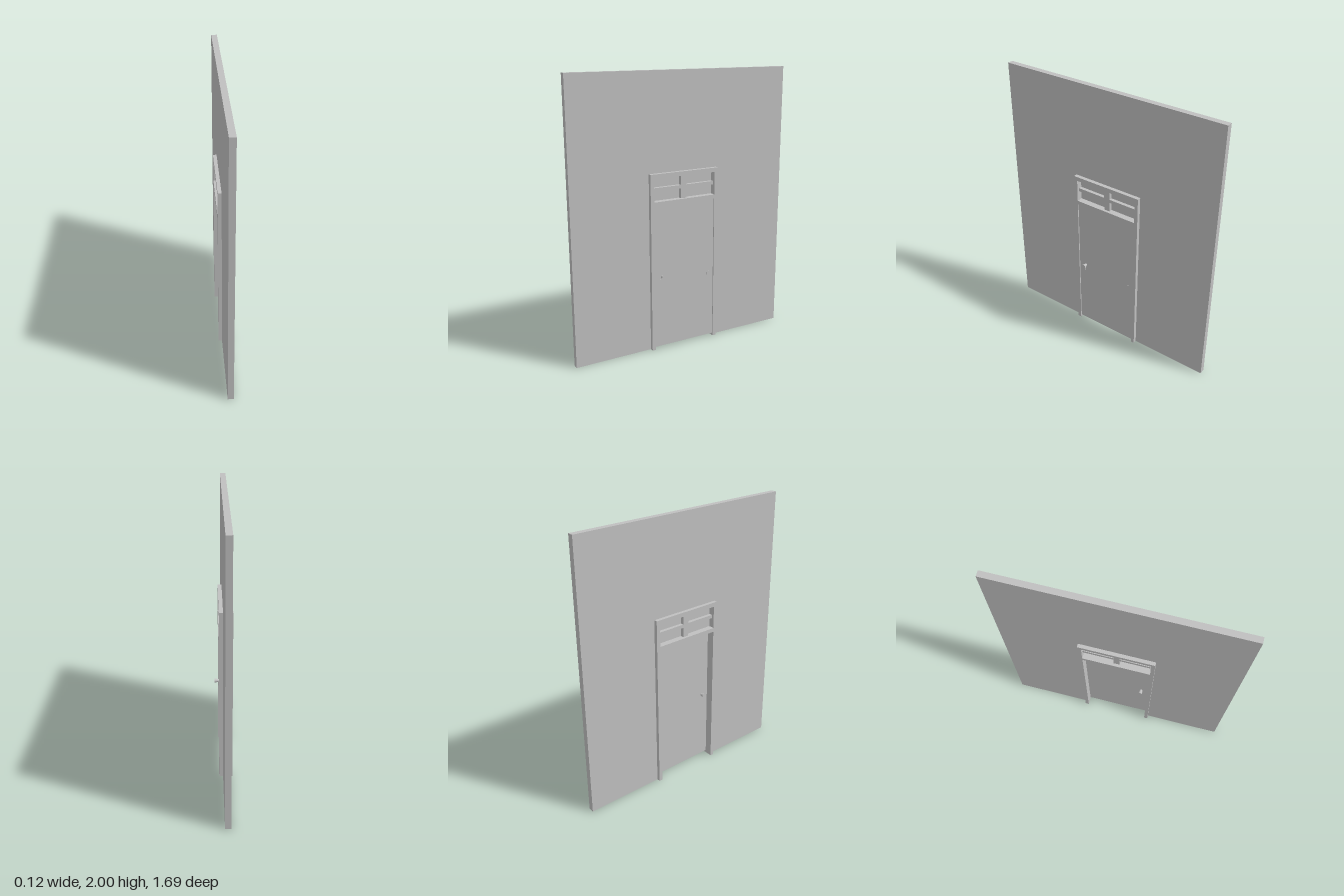
import * as THREE from 'three';

export function createModel() {
  const model = new THREE.Group();
  const grey = new THREE.MeshStandardMaterial({ color: 0xc0c0c0 });
  grey.name = 'light grey';

  const add = (name, geometry) => {
    const mesh = new THREE.Mesh(geometry, grey);
    mesh.name = name;
    model.add(mesh);
    return mesh;
  };

  // Box given by its limits along each axis
  const box = (name, x0, x1, y0, y1, z0, z1) =>
    add(name, new THREE.BoxGeometry(x1 - x0, y1 - y0, z1 - z0)
      .translate((x0 + x1) / 2, (y0 + y1) / 2, (z0 + z1) / 2));

  // Upside-down U with legs reaching the floor, extruded along x
  const portal = (name, x0, x1, outerZ, outerY, innerZ, innerY) => {
    const shape = new THREE.Shape([
      [-outerZ, 0], [-innerZ, 0], [-innerZ, innerY], [innerZ, innerY],
      [innerZ, 0], [outerZ, 0], [outerZ, outerY], [-outerZ, outerY],
    ].map(([z, y]) => new THREE.Vector2(z, y)));
    const geometry = new THREE.ExtrudeGeometry(shape, { depth: x1 - x0, bevelEnabled: false });
    return add(name, geometry.rotateY(Math.PI / 2).translate(x0, 0, 0));
  };

  // Wall with its door opening, and the frame lining it
  portal('wall', -0.037, 0.005, 0.845, 2, 0.255, 1.29);
  portal('doorFrame', -0.063, 0.033, 0.27, 1.307, 0.243, 1.276);

  // Window above the door: rail, pane and glazing bars
  box('transomRail', -0.063, 0.033, 1.08, 1.11, -0.243, 0.243);
  box('transomPane', -0.018, -0.012, 1.11, 1.276, -0.243, 0.243);
  box('verticalBar', -0.043, 0.013, 1.11, 1.276, -0.022, 0.022);
  for (const side of [-1, 1]) {
    const z = [0.022 * side, 0.243 * side].sort((a, b) => a - b);
    box('horizontalBar', -0.043, 0.013, 1.181, 1.206, ...z);
  }

  // Door leaf, with a small gap at the floor
  const doorBack = -0.006, doorFront = 0.026;
  box('door', doorBack, doorFront, 0.02, 1.08, -0.242, 0.242);

  // Flared knob on each face of the door
  for (const side of [-1, 1]) {
    const length = 0.034;
    const knob = add('knob', new THREE.CylinderGeometry(0.017, 0.009, length, 20));
    knob.rotation.z = -side * Math.PI / 2;
    knob.position.set((side > 0 ? doorFront : doorBack) + side * length / 2, 0.555, 0.185);
  }

  // Thin plates on the front of the door
  for (const z of [-0.2, 0.2]) {
    box('lockPlate', doorFront, doorFront + 0.002, 0.502, 0.535, z - 0.01, z + 0.01);
  }

  return model;
}
